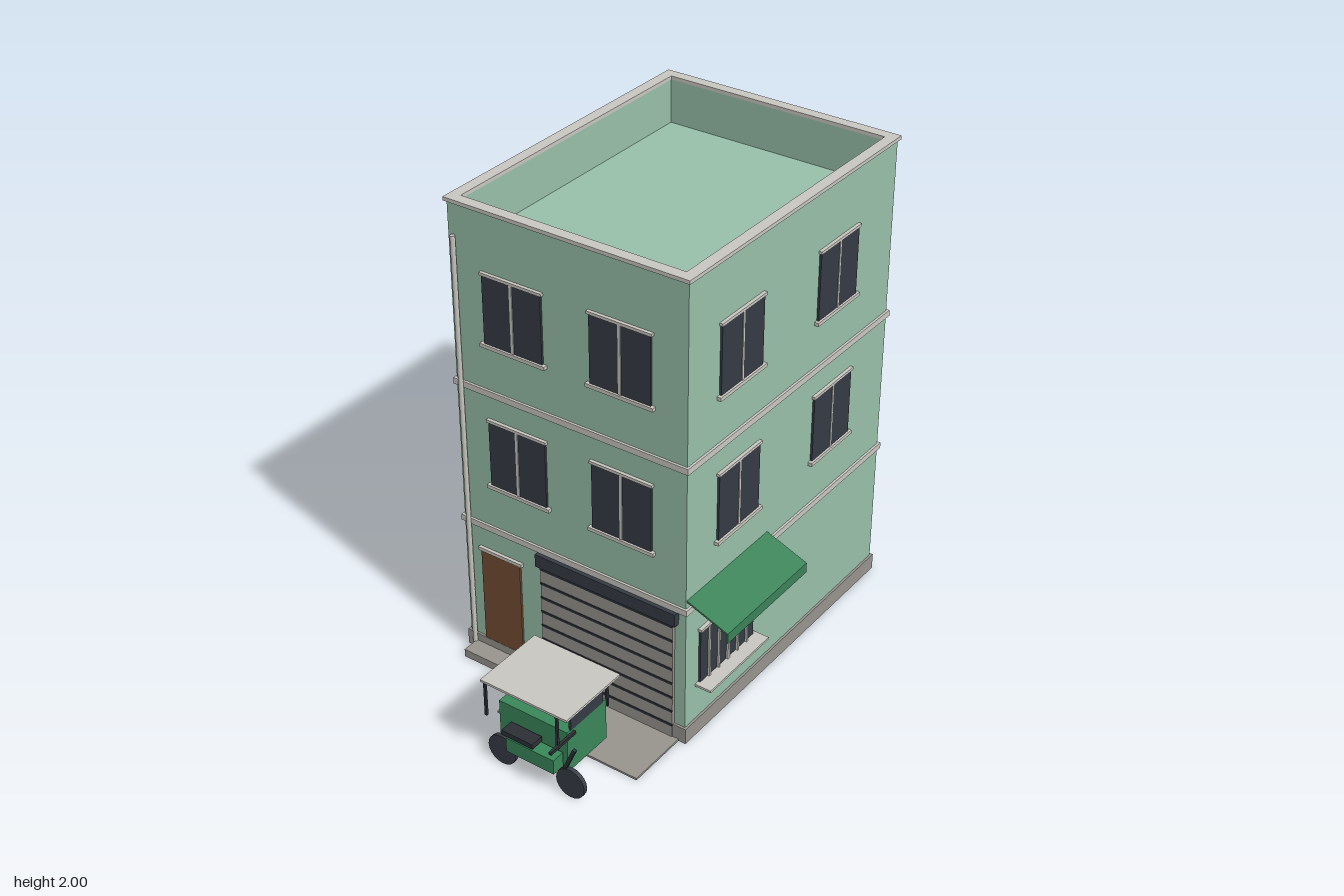
import * as THREE from 'three';

const mat = (name, color) => {
  const m = new THREE.MeshStandardMaterial({ color });
  m.name = name;
  return m;
};

export function createModel() {
  const wall = mat('wall green', 0x98c0aa);
  const trim = mat('pale trim', 0xcac8c1);
  const stone = mat('grey concrete', 0x98958f);
  const dark = mat('dark glass', 0x363b45);
  const black = mat('dark metal', 0x2c3036);
  const wood = mat('door brown', 0x734d33);
  const green = mat('canvas green', 0x3b8359);
  const paint = mat('vehicle green', 0x3a875a);

  const model = new THREE.Group();
  model.name = 'cornerBuilding';
  const group = (name, parent = model) => {
    const g = new THREE.Group();
    g.name = name;
    parent.add(g);
    return g;
  };

  // Box given by its limits on each axis
  const box = (name, m, [x0, x1], [y0, y1], [z0, z1], parent = model) => {
    const mesh = new THREE.Mesh(new THREE.BoxGeometry(x1 - x0, y1 - y0, z1 - z0), m);
    mesh.position.set((x0 + x1) / 2, (y0 + y1) / 2, (z0 + z1) / 2);
    mesh.name = name;
    parent.add(mesh);
    return mesh;
  };

  // Rectangular ring extruded upward
  const ring = (name, m, [x0, x1], [z0, z1], [y0, y1], t) => {
    const rect = (S, a, b, c, d) => {
      const s = new S();
      s.moveTo(a, c).lineTo(b, c).lineTo(b, d).lineTo(a, d).closePath();
      return s;
    };
    const shape = rect(THREE.Shape, x0, x1, -z1, -z0);
    shape.holes.push(rect(THREE.Path, x0 + t, x1 - t, -z1 + t, -z0 - t));
    const geo = new THREE.ExtrudeGeometry(shape, { depth: y1 - y0, bevelEnabled: false });
    geo.rotateX(-Math.PI / 2);
    const mesh = new THREE.Mesh(geo, m);
    mesh.position.y = y0;
    mesh.name = name;
    model.add(mesh);
  };

  // Main body, roof parapet and floor bands
  const X = [-0.608, 0.437], Z = [-0.955, 0.41];
  const XO = [-0.618, 0.447], ZO = [-0.965, 0.42];
  box('walls', wall, X, [0.04, 1.8], Z);
  ring('parapet', wall, X, Z, [1.8, 1.987], 0.034);
  ring('parapetCap', trim, XO, ZO, [1.985, 2], 0.046);
  box('plinth', stone, XO, [0, 0.07], ZO);
  for (const y of [0.607, 1.227]) box('floorBand', trim, XO, [y, y + 0.026], ZO);

  // Windows are built facing +z, then turned to their wall
  const window = (x, y, z, turn) => {
    const g = group('window');
    box('glass', dark, [-0.133, 0.133], [-0.145, 0.145], [-0.01, 0.009], g);
    box('mullion', trim, [-0.006, 0.006], [-0.145, 0.145], [0, 0.012], g);
    box('lintel', trim, [-0.14, 0.14], [0.141, 0.153], [-0.01, 0.014], g);
    box('sill', trim, [-0.148, 0.148], [-0.155, -0.14], [-0.01, 0.018], g);
    g.position.set(x, y, z);
    g.rotation.y = turn;
  };
  for (const y of [0.973, 1.594]) {
    for (const x of [-0.325, 0.153]) window(x, y, Z[1], 0);
    for (const z of [0.085, -0.557]) window(X[1], y, z, Math.PI / 2);
    window(-0.085, y, Z[0], Math.PI);
  }

  // Barred shop window on the side
  const shop = group('barredWindow');
  box('glass', dark, [0.43, 0.446], [0.235, 0.48], [-0.037, 0.324], shop);
  box('lintel', trim, [0.43, 0.453], [0.478, 0.49], [-0.042, 0.329], shop);
  box('sill', trim, [0.43, 0.508], [0.228, 0.238], [-0.055, 0.345], shop);
  for (let i = 0; i < 5; i++) {
    const z = 0.0165 + i * 0.0635, w = i === 2 ? 0.006 : 0.004;
    box('bar', trim, [0.444, 0.455], [0.235, 0.48], [z - w, z + w], shop);
  }

  // Sloping awning with hanging edge
  const profile = new THREE.Shape([
    [0.437, 0.668], [0.618, 0.597], [0.618, 0.553], [0.611, 0.553], [0.611, 0.592], [0.437, 0.66],
  ].map(([x, y]) => new THREE.Vector2(x, y)));
  const awning = new THREE.Mesh(
    new THREE.ExtrudeGeometry(profile, { depth: 0.535, bevelEnabled: false }), green);
  awning.position.z = -0.13;
  awning.name = 'awning';
  model.add(awning);

  // Door, step and driveway
  box('door', wood, [-0.526, -0.336], [0.07, 0.5], [0.4, 0.419]);
  box('doorLintel', trim, [-0.537, -0.324], [0.499, 0.514], [0.4, 0.424]);
  box('doorStep', stone, [-0.574, -0.288], [0, 0.035], [0.41, 0.498]);
  box('driveway', stone, [-0.25, 0.415], [0, 0.009], [0.41, 0.692]);

  // Roller shutter
  const shutter = group('rollerShutter');
  box('shutterPanel', stone, [-0.23, 0.388], [0.005, 0.57], [0.4, 0.424], shutter);
  for (let i = 0; i < 8; i++) {
    const y = 0.067 + i * 0.0672;
    box('shutterGroove', black, [-0.23, 0.388], [y - 0.005, y + 0.005], [0.42, 0.427], shutter);
  }
  box('shutterHousing', dark, [-0.245, 0.405], [0.55, 0.606], [0.405, 0.436], shutter);

  // Drainpipe
  const pipe = new THREE.Mesh(new THREE.CylinderGeometry(0.01, 0.01, 1.85, 8), trim);
  pipe.position.set(-0.578, 0.935, 0.424);
  pipe.name = 'drainpipe';
  model.add(pipe);

  // Motorcycle with covered sidecar, heading +x
  const trike = group('sidecarTricycle');
  const wheel = (name, x, z, r) => {
    const m = new THREE.Mesh(new THREE.CylinderGeometry(r, r, 0.018, 20), dark);
    m.rotation.x = Math.PI / 2;
    m.position.set(x, r, z);
    m.name = name;
    trike.add(m);
  };
  wheel('rearWheel', -0.05, 0.897, 0.065);
  wheel('frontWheel', 0.27, 0.897, 0.065);
  wheel('sidecarWheel', 0.068, 0.613, 0.052);
  box('sidecarBody', paint, [-0.093, 0.225], [0.063, 0.252], [0.622, 0.859], trike);
  box('windshield', dark, [0.217, 0.227], [0.25, 0.358], [0.642, 0.838], trike);
  box('canopy', trim, [-0.123, 0.277], [0.371, 0.381], [0.602, 0.925], trike);
  for (const x of [-0.108, 0.225])
    for (const z of [0.615, 0.916])
      box('canopyPost', black, [x - 0.005, x + 0.005], [0.215, 0.372], [z - 0.005, z + 0.005], trike);
  box('bikeBody', paint, [-0.01, 0.212], [0.095, 0.16], [0.87, 0.928], trike);
  box('bikeSeat', black, [-0.03, 0.115], [0.166, 0.188], [0.87, 0.928], trike);
  box('handlebar', black, [0.225, 0.237], [0.228, 0.24], [0.82, 0.969], trike);
  const fork = box('fork', black, [0.252, 0.266], [0.085, 0.235], [0.89, 0.904], trike);
  fork.rotation.z = -0.4;

  return model;
}
